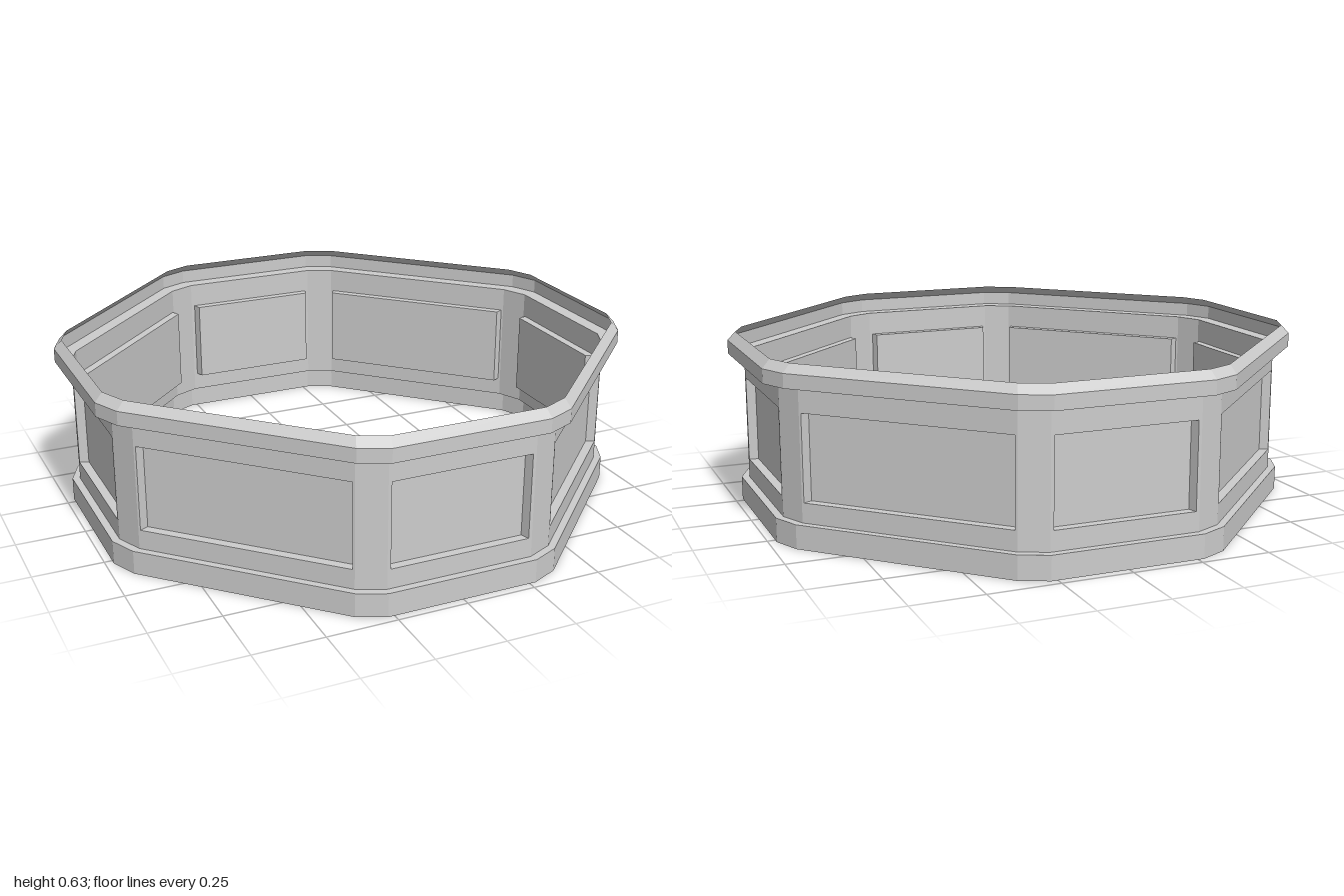
import * as THREE from 'three';

const grey = new THREE.MeshStandardMaterial({ color: 0xcccccc, side: THREE.DoubleSide, flatShading: true });
grey.name = 'grey';

// Plan at full size: square sides and diagonal sides alternate, with a cut corner between
const SQUARE = { apothem: 1.0, half: 0.28 };
const DIAGONAL = { apothem: 0.944, half: 0.407 };
const sideOf = (i) => (i % 2 ? DIAGONAL : SQUARE);
const WALL = 0.945, WALL_BOTTOM = 0.085, WALL_TOP = 0.55;
const PANEL_BOTTOM = 0.155, PANEL_TOP = 0.46, PANEL_DEPTH = 0.032;

// Sixteen plan points scaled to one profile level
function ring([scale, y]) {
  const points = [];
  for (let i = 0; i < 8; i++) {
    const a = (i * Math.PI) / 4, { apothem, half } = sideOf(i);
    for (const t of [-half, half]) {
      points.push([
        scale * (apothem * Math.sin(a) + t * Math.cos(a)), y,
        scale * (apothem * Math.cos(a) - t * Math.sin(a)),
      ]);
    }
  }
  return points;
}

function meshFromQuads(name, quads) {
  const positions = [];
  for (const [a, b, c, d] of quads) positions.push(...a, ...b, ...c, ...a, ...c, ...d);
  const geometry = new THREE.BufferGeometry();
  geometry.setAttribute('position', new THREE.Float32BufferAttribute(positions, 3));
  geometry.computeVertexNormals();
  const mesh = new THREE.Mesh(geometry, grey);
  mesh.name = name;
  return mesh;
}

// Joins profile levels [scale, y] from the bottom up; step 2 keeps only the corners
function band(name, levels, start = 0, step = 1) {
  const rings = levels.map(ring), quads = [];
  for (let l = 0; l + 1 < rings.length; l++) {
    for (let k = start; k < 16; k += step) {
      const n = (k + 1) % 16;
      quads.push([rings[l][k], rings[l][n], rings[l + 1][n], rings[l + 1][k]]);
    }
  }
  return meshFromQuads(name, quads);
}

const rectangle = (half, y0, y1, z) => [[-half, y0, z], [half, y0, z], [half, y1, z], [-half, y1, z]];

// Quads filling the gap between two matching rectangles
const between = (outer, inner) => outer.map((p, i) => {
  const n = (i + 1) % 4;
  return [p, outer[n], inner[n], inner[i]];
});

// One wall side with its panel pressed inwards
function panelledSide(i) {
  const { apothem, half } = sideOf(i);
  const z = apothem * WALL, halfWall = half * WALL;
  const halfOpening = halfWall - (i % 2 ? 0.008 : 0.012);
  const wall = rectangle(halfWall, WALL_BOTTOM, WALL_TOP, z);
  const opening = rectangle(halfOpening, PANEL_BOTTOM, PANEL_TOP, z);
  const floor = rectangle(halfOpening - 0.01, PANEL_BOTTOM, PANEL_TOP, z - PANEL_DEPTH);

  const side = new THREE.Group();
  side.name = 'wallSide';
  side.add(
    meshFromQuads('wallFrame', between(wall, opening)),
    meshFromQuads('panelEdges', between(opening, floor)),
    meshFromQuads('panel', [floor]),
  );
  side.rotation.y = (i * Math.PI) / 4;
  return side;
}

export function createModel() {
  const model = new THREE.Group();
  model.name = 'octagonalRing';

  // Plinth with its upper step
  model.add(band('plinth', [[0.972, 0], [0.972, WALL_BOTTOM], [WALL, WALL_BOTTOM]]));

  // Wall: narrow corner strips and eight panelled sides
  model.add(band('cornerStrips', [[WALL, WALL_BOTTOM], [WALL, WALL_TOP]], 1, 2));
  for (let i = 0; i < 8; i++) model.add(panelledSide(i));

  // Overhanging rim with a chamfered top, open inside
  model.add(band('rim', [[WALL, WALL_TOP], [1, WALL_TOP], [1, 0.6], [0.972, 0.63]]));
  return model;
}
